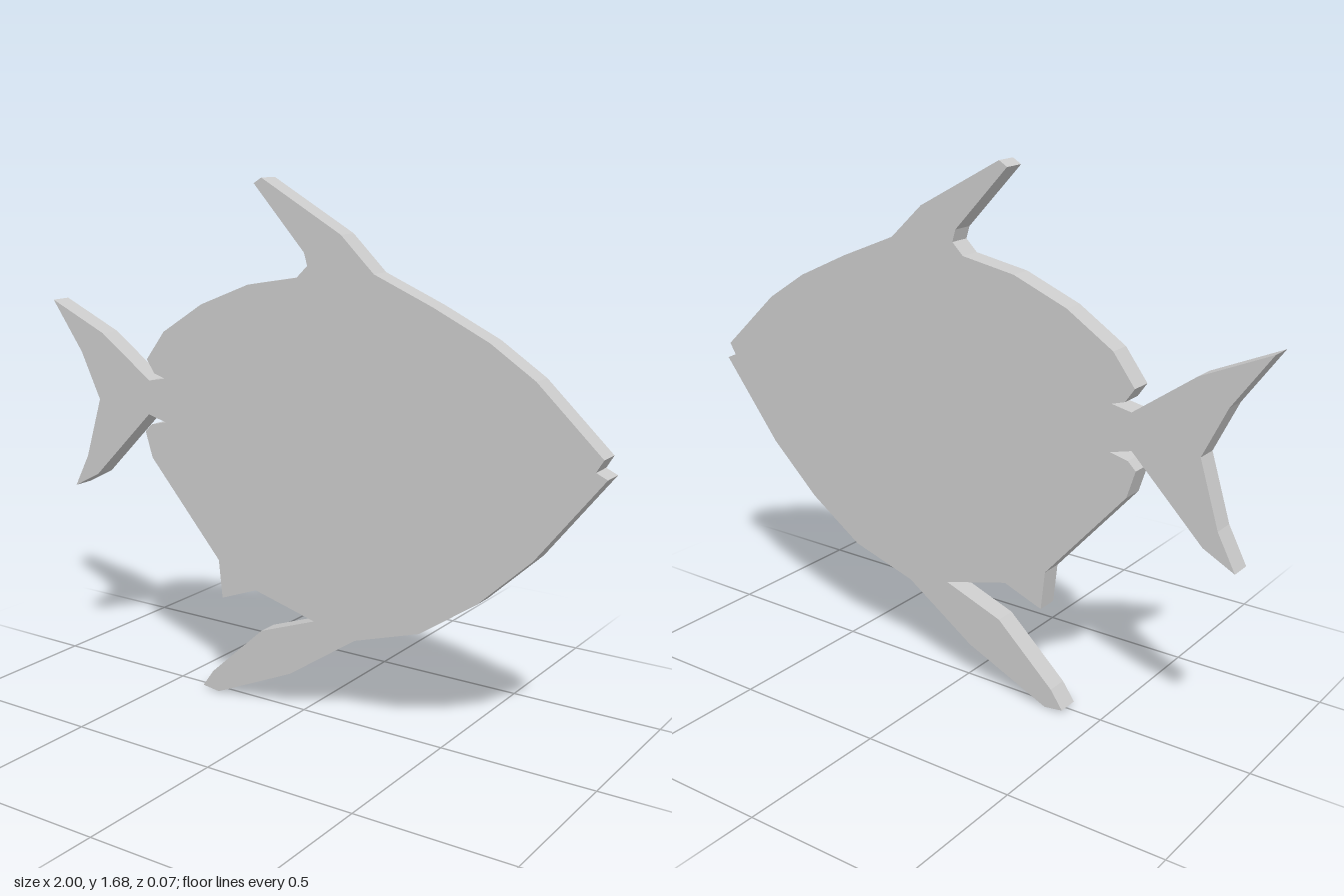
import * as THREE from 'three';

const THICKNESS = 0.07;

// Clockwise silhouette, grouped by the feature each run of points traces
const dorsalFin = [[0.035, 1.425], [0.024, 1.463], [-0.158, 1.66], [-0.13, 1.677], [0.152, 1.521], [0.265, 1.414]];
const forehead = [[0.46, 1.333], [0.64, 1.248], [0.783, 1.155]];
const mouth = [[0.987, 0.965], [0.965, 0.928], [1, 0.912]];
const belly = [[0.794, 0.65], [0.623, 0.489], [0.436, 0.361], [0.211, 0.291]];
const pelvicFin = [[-0.03, 0.128], [-0.318, 0], [-0.382, 0.008], [-0.34, 0.067], [-0.142, 0.249], [0.061, 0.323]];
const analFin = [[-0.163, 0.382], [-0.297, 0.331], [-0.31, 0.457], [-0.58, 0.762], [-0.607, 0.848], [-0.58, 0.874], [-0.521, 0.888]];
const tailFin = [
  [-0.591, 0.906], [-0.826, 0.671], [-0.928, 0.618], [-0.869, 0.73], [-0.805, 0.933],
  [-0.88, 1.088], [-1, 1.254], [-0.783, 1.158], [-0.586, 1.019],
];
const back = [
  [-0.521, 1.032], [-0.564, 1.045], [-0.594, 1.088], [-0.521, 1.184],
  [-0.366, 1.283], [-0.184, 1.356], [-0.003, 1.388],
];

export function createModel() {
  const outline = [dorsalFin, forehead, mouth, belly, pelvicFin, analFin, tailFin, back].flat();
  const shape = new THREE.Shape(outline.map(([x, y]) => new THREE.Vector2(x, y)));

  // Flat cut-out plate, centred on z = 0
  const geometry = new THREE.ExtrudeGeometry(shape, { depth: THICKNESS, bevelEnabled: false });
  geometry.translate(0, 0, -THICKNESS / 2);

  const fish = new THREE.Mesh(
    geometry,
    new THREE.MeshStandardMaterial({ color: 0xcccccc, flatShading: true }),
  );
  fish.name = 'fishPlate';

  const group = new THREE.Group();
  group.name = 'fish';
  group.add(fish);
  return group;
}
